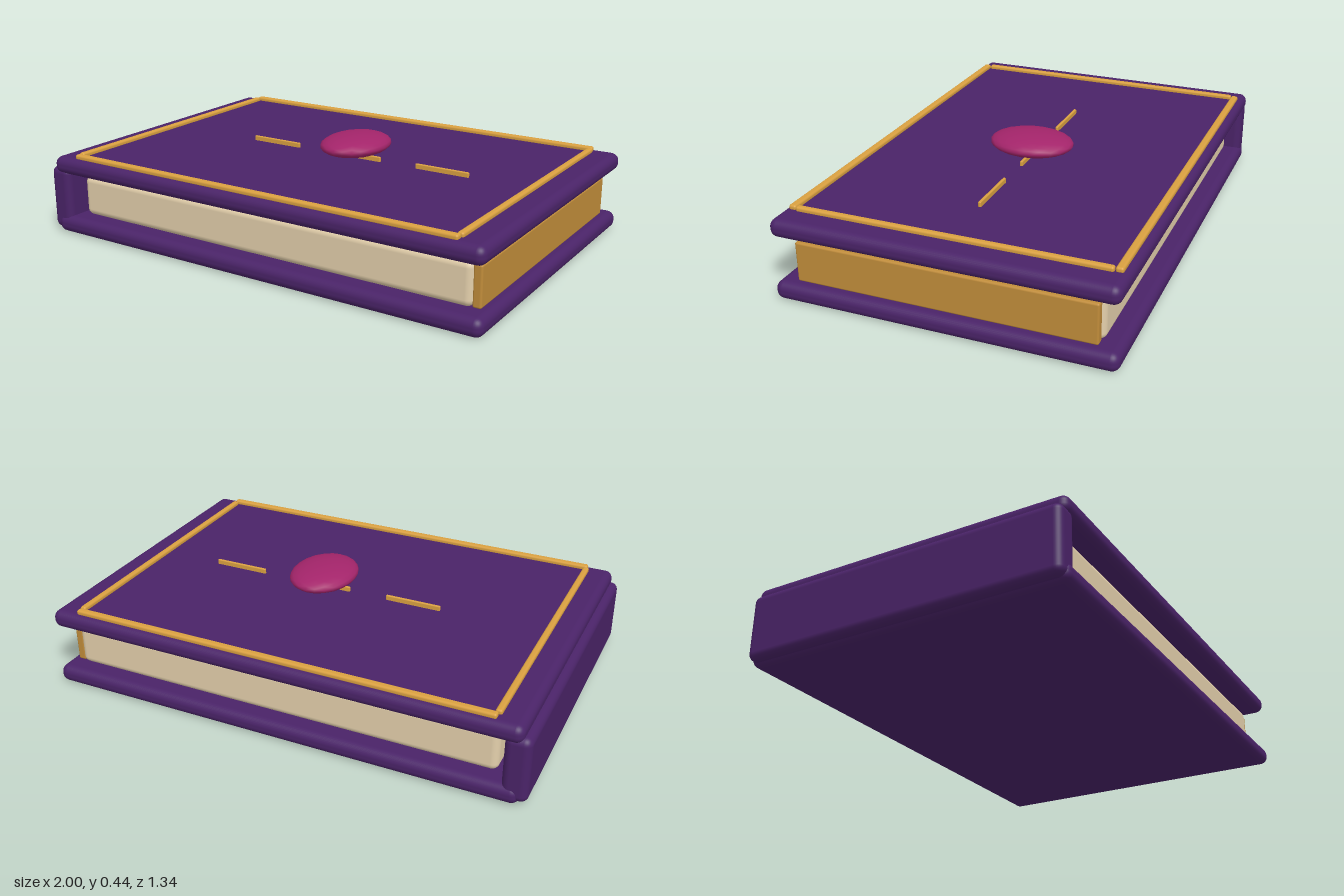
import * as THREE from 'three';
import { RoundedBoxGeometry } from 'three/addons/geometries/RoundedBoxGeometry.js';

const mat = (color) => new THREE.MeshStandardMaterial({ color });

export function createModel() {
  const book = new THREE.Group();
  book.name = 'book';
  const purple = mat(0x4a2368), gold = mat(0xd9a040), edgeGold = mat(0xc08c3a);
  const paper = mat(0xe3cfab), ruby = mat(0xa3246a);

  // Rounded box given by its extents on each axis
  const block = (name, material, [x0, x1], [y0, y1], [z0, z1], radius) => {
    const geo = new RoundedBoxGeometry(x1 - x0, y1 - y0, z1 - z0, 4, radius);
    const mesh = new THREE.Mesh(geo, material);
    mesh.name = name;
    mesh.position.set((x0 + x1) / 2, (y0 + y1) / 2, (z0 + z1) / 2);
    book.add(mesh);
    return mesh;
  };

  // Covers and spine
  block('backCover', purple, [-0.97, 1], [0, 0.073], [-0.67, 0.67], 0.032);
  block('frontCover', purple, [-0.97, 1], [0.257, 0.33], [-0.67, 0.67], 0.032);
  block('spine', purple, [-1, -0.9], [0.012, 0.283], [-0.662, 0.662], 0.03);

  // Page block, top leaf and gilded fore edge
  block('pages', paper, [-0.87, 0.93], [0.073, 0.245], [-0.6, 0.6], 0.028);
  block('topLeaf', paper, [-0.82, 0.905], [0.24, 0.255], [-0.57, 0.57], 0.003);
  block('foreEdge', edgeGold, [0.925, 0.96], [0.075, 0.236], [-0.587, 0.587], 0.008);

  // Gold border on the front cover
  for (const z of [-0.63, 0.63])
    block('borderLong', gold, [-0.865, 0.892], [0.324, 0.347], [z - 0.015, z + 0.015], 0.009);
  for (const x of [-0.862, 0.885])
    block('borderShort', gold, [x - 0.013, x + 0.013], [0.324, 0.347], [-0.613, 0.613], 0.009);

  // Thin inlay bars, the middle one running under the gem
  for (const x of [-0.3, 0.1, 0.5])
    block('inlayBar', gold, [x - 0.118, x + 0.118], [0.326, 0.35], [-0.006, 0.006], 0.004);

  // Oval gem
  const gem = new THREE.Mesh(new THREE.IcosahedronGeometry(1, 3), ruby);
  gem.name = 'gem';
  gem.scale.set(0.136, 0.044, 0.175);
  gem.position.set(0.1, 0.391, 0);
  book.add(gem);

  return book;
}
